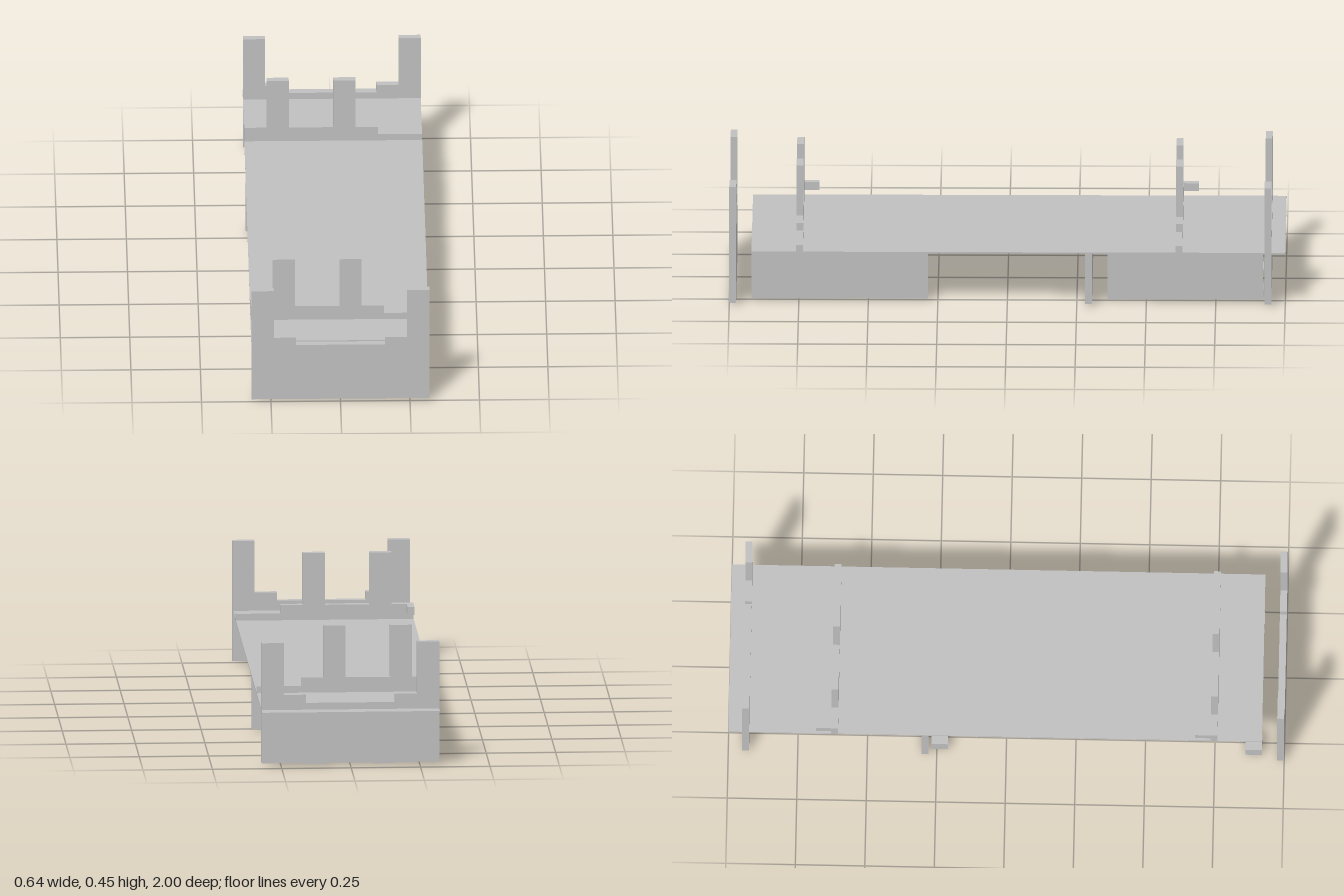
import * as THREE from 'three';

export function createModel() {
  const model = new THREE.Group();
  model.name = 'slottedPanelAssembly';
  const grey = new THREE.MeshStandardMaterial({ color: 0xc0c0c0 });
  grey.name = 'plain grey';

  const add = (name, geometry) => {
    const mesh = new THREE.Mesh(geometry, grey);
    mesh.name = name;
    model.add(mesh);
    return mesh;
  };

  // Box given by its lower and upper limits on each axis
  const box = (name, x0, x1, y0, y1, z0, z1) =>
    add(name, new THREE.BoxGeometry(x1 - x0, y1 - y0, z1 - z0))
      .position.set((x0 + x1) / 2, (y0 + y1) / 2, (z0 + z1) / 2);

  // Upright panel cut from a stepped outline in x and y
  const T = 0.025;
  const panel = (name, outline, z0) => {
    const shape = new THREE.Shape(outline.map(([x, y]) => new THREE.Vector2(x, y)));
    add(name, new THREE.ExtrudeGeometry(shape, { depth: T, bevelEnabled: false }))
      .position.z = z0;
  };

  // Deck
  box('deck', -0.32, 0.32, 0.2, 0.205, -1, 0.92);

  // End panels: corner posts with a stepped dip between them
  const half = [[0.32, 0.01], [0.32, 0.45], [0.24, 0.45], [0.24, 0.26], [0.16, 0.26], [0.16, 0.23]];
  const endOutline = [...half, ...half.map(([x, y]) => [-x, y]).reverse()];
  panel('frontPanel', endOutline, 0.975);
  panel('backPanel', endOutline, -0.95);

  // Cross rails on the deck: two posts, a low right step and a hook at the end
  const railOutline = [
    [-0.32, 0.2], [0.32, 0.2], [0.32, 0.23], [0.16, 0.23], [0.16, 0.26],
    [0.08, 0.26], [0.08, 0.45], [0, 0.45], [0, 0.26], [-0.16, 0.26],
    [-0.16, 0.45], [-0.24, 0.45], [-0.24, 0.26], [-0.32, 0.26],
  ];
  for (const [side, z] of [['front', 0.735], ['back', -0.63]]) {
    panel(side + 'Rail', railOutline, z);
    box(side + 'RailHook', -0.32, -0.295, 0.23, 0.26, z - 0.055, z);
  }

  // Long side panels under the deck
  box('frontSidePanel', 0.24, 0.265, 0.01, 0.2, 0.285, 0.92);
  box('backSidePanel', 0.24, 0.265, 0.01, 0.2, -0.92, -0.36);

  // Cross panel under the deck, in two parts with a gap
  box('crossPanelLeft', 0, 0.32, 0.01, 0.2, -0.305, -0.28);
  box('crossPanelRight', -0.32, -0.08, 0.01, 0.2, -0.305, -0.28);

  // Small blocks near the floor
  for (const [x, z] of [[-0.27, 0.89], [0.2, 0.89], [-0.27, -0.24]]) {
    box('floorBlock', x - 0.03, x + 0.03, 0.01, 0.06, z - 0.03, z + 0.03);
  }

  // Thin floor tiles
  box('floorTile', 0.16, 0.24, 0, 0.009, -0.44, -0.36);
  box('floorTile', 0.08, 0.16, 0, 0.009, -0.92, -0.76);
  box('floorTile', -0.16, -0.08, 0, 0.009, -0.92, -0.76);

  return model;
}
